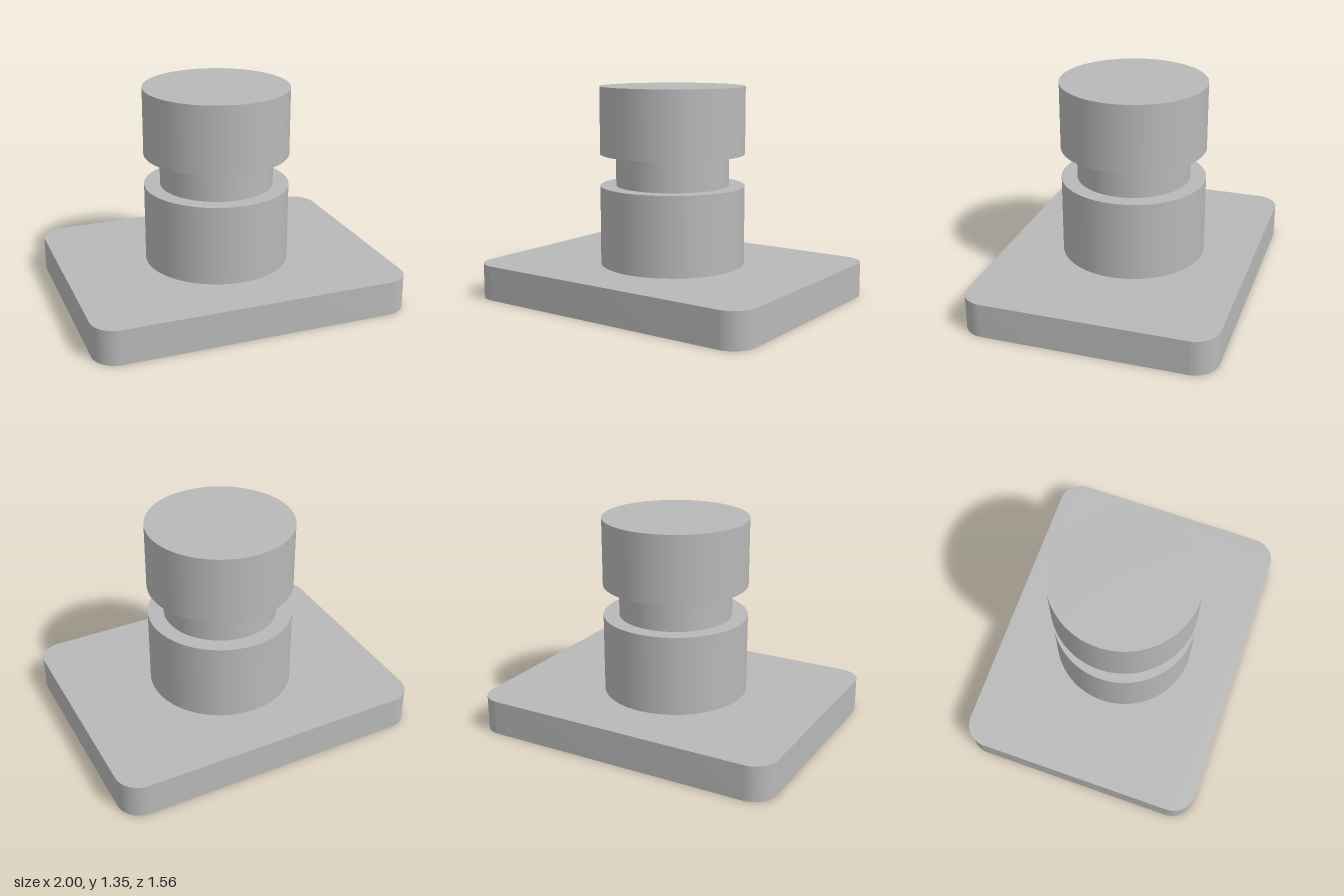
import * as THREE from 'three';
import { toCreasedNormals } from 'three/addons/utils/BufferGeometryUtils.js';

export function createModel() {
  const group = new THREE.Group();
  group.name = 'groovedPostOnPlate';
  const grey = new THREE.MeshStandardMaterial({ color: 0xb8b8b8 });
  grey.name = 'grey';

  const add = (name, geometry) => {
    const mesh = new THREE.Mesh(geometry, grey);
    mesh.name = name;
    group.add(mesh);
  };

  // Base plate: rectangle with rounded vertical corners
  const w = 1, d = 0.78, r = 0.15, plateTop = 0.22;
  const outline = new THREE.Shape();
  outline.absarc(w - r, d - r, r, 0, Math.PI / 2);
  outline.absarc(-w + r, d - r, r, Math.PI / 2, Math.PI);
  outline.absarc(-w + r, -d + r, r, Math.PI, Math.PI * 1.5);
  outline.absarc(w - r, -d + r, r, Math.PI * 1.5, Math.PI * 2);
  outline.closePath();
  const plate = new THREE.ExtrudeGeometry(outline, {
    depth: plateTop, bevelEnabled: false, curveSegments: 16,
  });
  plate.rotateX(-Math.PI / 2);
  add('basePlate', toCreasedNormals(plate, Math.PI / 6));

  // Round post: lower drum, narrow neck and head
  const drum = (name, radius, bottom, top) => {
    const geometry = new THREE.CylinderGeometry(radius, radius, top - bottom, 96);
    geometry.translate(0, (top + bottom) / 2, 0);
    add(name, geometry);
  };
  drum('lowerPost', 0.457, plateTop, 0.72);
  drum('neck', 0.357, 0.72, 0.92);
  drum('head', 0.457, 0.92, 1.345);

  return group;
}
